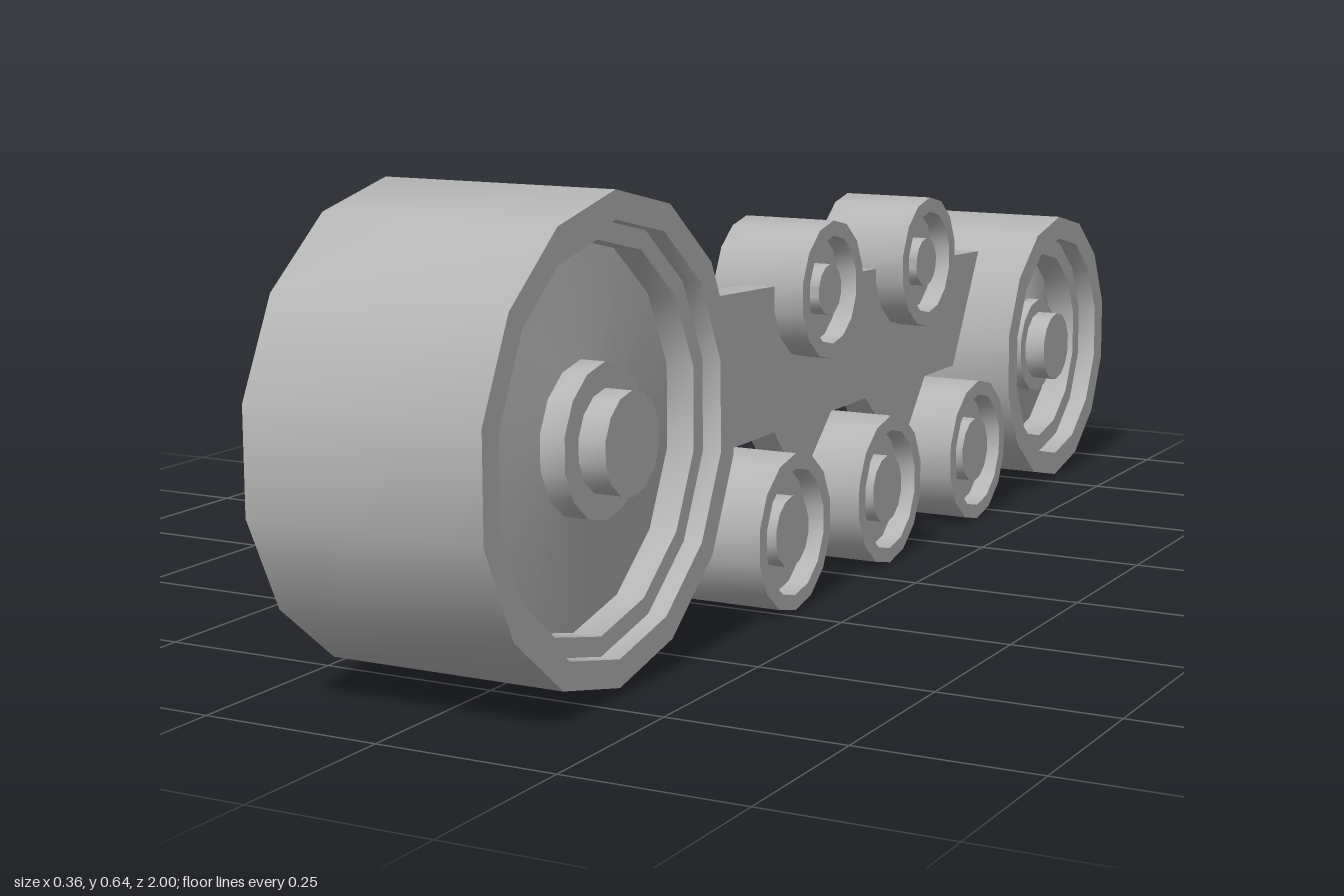
import * as THREE from 'three';
import { toCreasedNormals } from 'three/addons/utils/BufferGeometryUtils.js';

// Open-backed wheel: profile of [radius, x] points spun around the x axis.
function makeWheel(name, y, z, profile, material) {
  const points = profile.map(([r, x]) => new THREE.Vector2(r, x));
  const lathe = new THREE.LatheGeometry(points, 14);
  lathe.rotateY(Math.PI / 2).rotateZ(-Math.PI / 2);
  const mesh = new THREE.Mesh(toCreasedNormals(lathe, 0.6), material);
  mesh.name = name;
  mesh.position.set(0, y, z);
  return mesh;
}

// Small wheel with one recessed face and a round hub.
const smallProfile = (r, inner, hub, back, front) => [
  [r, back], [r, front], [inner, front], [inner, front - 0.03],
  [hub, front - 0.03], [hub, front - 0.005], [0, front - 0.005],
];

export function createModel() {
  const group = new THREE.Group();
  group.name = 'trackWheels';
  const grey = new THREE.MeshStandardMaterial({ color: 0xb4b4b4, side: THREE.DoubleSide });
  grey.name = 'plain grey';

  // Large front wheel with stepped rim, hub ring and protruding axle
  group.add(makeWheel('frontWheel', 0.323, 0.696, [
    [0.313, -0.18], [0.313, 0.157], [0.276, 0.157], [0.276, 0.13],
    [0.25, 0.13], [0.25, 0.09], [0.1, 0.105], [0.1, 0.14],
    [0.067, 0.14], [0.067, 0.178], [0, 0.178],
  ], grey));

  // Smaller rear wheel
  group.add(makeWheel('rearWheel', 0.228, -0.784, [
    [0.222, -0.145], [0.222, 0.16], [0.185, 0.16], [0.185, 0.13],
    [0.157, 0.13], [0.157, 0.085], [0.079, 0.105], [0.079, 0.125],
    [0.057, 0.125], [0.057, 0.158], [0, 0.158],
  ], grey));

  // Road wheels along the ground
  [0.219, -0.097, -0.432].forEach((z, i) => group.add(
    makeWheel(`roadWheel${i + 1}`, 0.112, z, smallProfile(0.112, 0.09, 0.051, 0.01, 0.164), grey)));

  // Return rollers above the plate
  [0.052, -0.287].forEach((z, i) => group.add(
    makeWheel(`returnRoller${i + 1}`, 0.43, z, smallProfile(0.1, 0.078, 0.037, 0, 0.14), grey)));

  // Side plate, outlined as [z, y], notched above and lobed below at each roller
  const outline = [
    [0.385, 0.455], [0.325, 0.235], [0.15, 0.235], [0.092, 0.17], [0.038, 0.17],
    [-0.035, 0.235], [-0.155, 0.235], [-0.235, 0.165], [-0.315, 0.165], [-0.375, 0.235],
    [-0.488, 0.235], [-0.588, 0.41],
    [-0.375, 0.42], [-0.32, 0.36], [-0.255, 0.36], [-0.2, 0.428],
    [-0.037, 0.435], [0.022, 0.365], [0.083, 0.365], [0.142, 0.444],
  ];
  const shape = new THREE.Shape(outline.map(([z, y]) => new THREE.Vector2(-z, y)));
  const plateGeometry = new THREE.ExtrudeGeometry(shape, { depth: 0.045, bevelEnabled: false });
  plateGeometry.rotateY(Math.PI / 2);
  const plate = new THREE.Mesh(plateGeometry, grey);
  plate.name = 'sidePlate';
  plate.position.x = 0.05;
  group.add(plate);

  return group;
}
